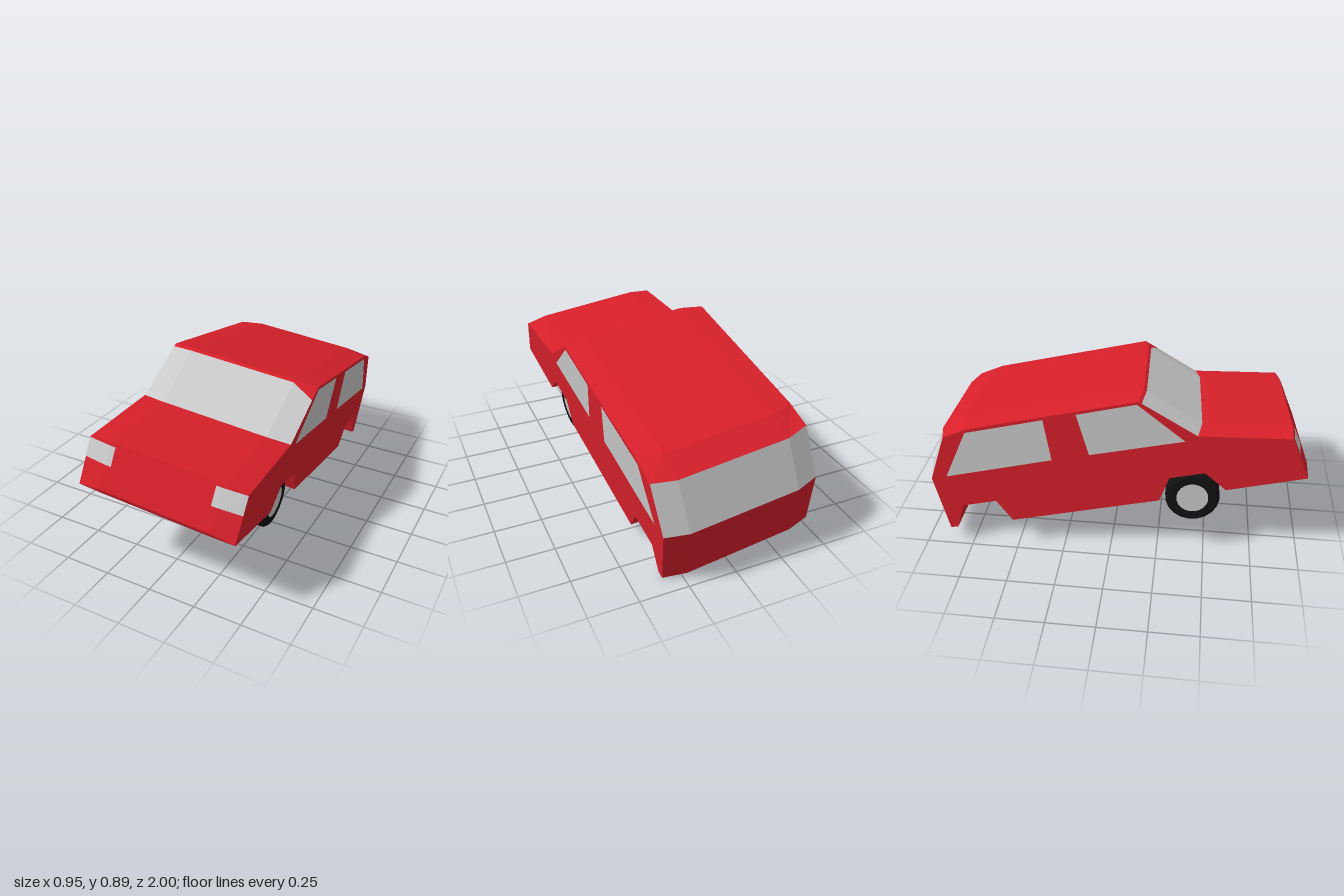
import * as THREE from 'three';

const W = 0.41, IN = 0.29; // half width of the body and of its flat middle

const mat = (color) => new THREE.MeshStandardMaterial({ color, flatShading: true, side: THREE.DoubleSide });
const paint = mat(0xd8202b), glass = mat(0xcccccc), rubber = mat(0x111111);

function mesh(name, geometry, material) {
  const m = new THREE.Mesh(geometry, material);
  m.name = name;
  return m;
}

// Flat-shaded skin through rows of points, each row running right to left
function skin(rows) {
  const pos = [];
  for (let r = 0; r + 1 < rows.length; r++) {
    for (let c = 0; c + 1 < rows[r].length; c++) {
      const a = rows[r][c], b = rows[r][c + 1], d = rows[r + 1][c + 1], e = rows[r + 1][c];
      pos.push(...a, ...b, ...d, ...a, ...d, ...e);
    }
  }
  const g = new THREE.BufferGeometry();
  g.setAttribute('position', new THREE.Float32BufferAttribute(pos, 3));
  g.computeVertexNormals();
  return g;
}

// Flat panel on one side, from [height, forward] points
function sidePanel(points, side, x) {
  const shape = new THREE.Shape(points.map(([y, z]) => new THREE.Vector2(-side * z, y)));
  return new THREE.ShapeGeometry(shape).rotateY(side * Math.PI / 2).translate(side * x, 0, 0);
}

// Body stations: height and forward position at the outer edge, then at the middle
const hull = [
  [0, 1.0, 0, 1.005],           // front bottom
  [0.003, 1.004, 0.02, 1.017],  // bumper edge
  [0.234, 0.957, 0.248, 0.968], // bonnet front
  [0.328, 0.5, 0.335, 0.525],   // windscreen base
  [0.509, 0.305, 0.562, 0.283], // windscreen top
  [0.563, 0.245, 0.574, 0.27],  // roof front
  [0.56, -0.635, 0.574, -0.672],// roof rear
  [0.535, -0.776, 0.535, -0.81],// rear window top
  [0.31, -0.912, 0.31, -0.945], // rear window base
  [-0.006, -0.907, -0.006, -0.935], // rear bottom
];
// Underside with the two wheel arches
const floor = [
  [-0.008, -0.867], [0.12, -0.797], [0.12, -0.613], [-0.012, -0.555],
  [-0.012, 0.242], [0.113, 0.319], [0.113, 0.501], [-0.004, 0.59], [0, 1.0],
];

const hullRow = ([yo, zo, yi, zi]) => [[-W, yo, zo], [-IN, yi, zi], [IN, yi, zi], [W, yo, zo]];
const floorRow = ([y, z]) => [[-W, y, z], [-IN, y, z], [IN, y, z], [W, y, z]];

function addBody(car) {
  const rows = hull.map(hullRow);
  // the glass reaches higher at the right corner
  rows[4][0] = [-W, 0.55, 0.26];
  car.add(mesh('frontAndBonnet', skin(rows.slice(0, 4)), paint));
  car.add(mesh('windscreen', skin(rows.slice(3, 5)), glass));
  car.add(mesh('roof', skin(rows.slice(4, 8)), paint));
  car.add(mesh('rearWindow', skin(rows.slice(7, 9)), glass));
  car.add(mesh('tailgate', skin(rows.slice(8, 10)), paint));
  car.add(mesh('underside', skin([rows[9], ...floor.map(floorRow)]), paint));
  for (const side of [-1, 1]) {
    const outline = rows.map((r) => r[side < 0 ? 0 : 3].slice(1)).concat(floor.slice(0, -1));
    car.add(mesh(side < 0 ? 'rightSide' : 'leftSide', sidePanel(outline, side, W), paint));
  }
}

function addSideWindows(car) {
  const front = [[0.31, 0.434], [0.55, 0.236], [0.547, -0.072], [0.313, -0.058]];
  const rear = [[0.315, -0.255], [0.546, -0.243], [0.542, -0.656], [0.31, -0.829]];
  for (const side of [-1, 1]) {
    const label = side < 0 ? 'right' : 'left';
    car.add(mesh(label + 'FrontWindow', sidePanel(front, side, W + 0.002), glass));
    car.add(mesh(label + 'RearWindow', sidePanel(rear, side, W + 0.002), glass));
  }
}

function addHeadlights(car) {
  const row = (y, side) => {
    const zo = 1.008 - 0.2 * y, zi = 1.025 - 0.215 * y;
    const r = [[side * 0.26, y, zi], [side * IN, y, zi], [side * W, y, zo]];
    return side < 0 ? r.reverse() : r;
  };
  for (const side of [-1, 1]) {
    car.add(mesh(side < 0 ? 'rightHeadlight' : 'leftHeadlight', skin([row(0.14, side), row(0.232, side)]), glass));
  }
}

function addWheels(car) {
  const tyreProfile = [[0.083, -0.057], [0.125, -0.057], [0.142, -0.04], [0.142, 0.04], [0.125, 0.057], [0.083, 0.057]]
    .map(([r, h]) => new THREE.Vector2(r, h));
  for (const side of [-1, 1]) {
    const wheel = new THREE.Group();
    wheel.name = side < 0 ? 'frontRightWheel' : 'frontLeftWheel';
    wheel.add(mesh('tyre', new THREE.LatheGeometry(tyreProfile, 20), rubber));
    wheel.add(mesh('hub', new THREE.CylinderGeometry(0.084, 0.084, 0.112, 20), glass));
    wheel.rotation.z = Math.PI / 2;
    wheel.position.set(side * 0.327 - 0.013, -0.033, 0.413);
    car.add(wheel);
  }
}

export function createModel() {
  const car = new THREE.Group();
  car.name = 'car';
  addBody(car);
  addSideWindows(car);
  addHeadlights(car);
  addWheels(car);

  // The car rests tilted: nose up, leaning to its left
  const left = new THREE.Vector3(0.994, -0.104, -0.037).normalize();
  const forward = new THREE.Vector3(0.0585, 0.2126, 0.9753).normalize();
  const up = new THREE.Vector3().crossVectors(forward, left).normalize();
  left.crossVectors(up, forward);
  car.applyMatrix4(new THREE.Matrix4().makeBasis(left, up, forward).setPosition(-0.011, 0.246, 0));

  const model = new THREE.Group();
  model.name = 'tiltedCar';
  model.add(car);
  return model;
}
